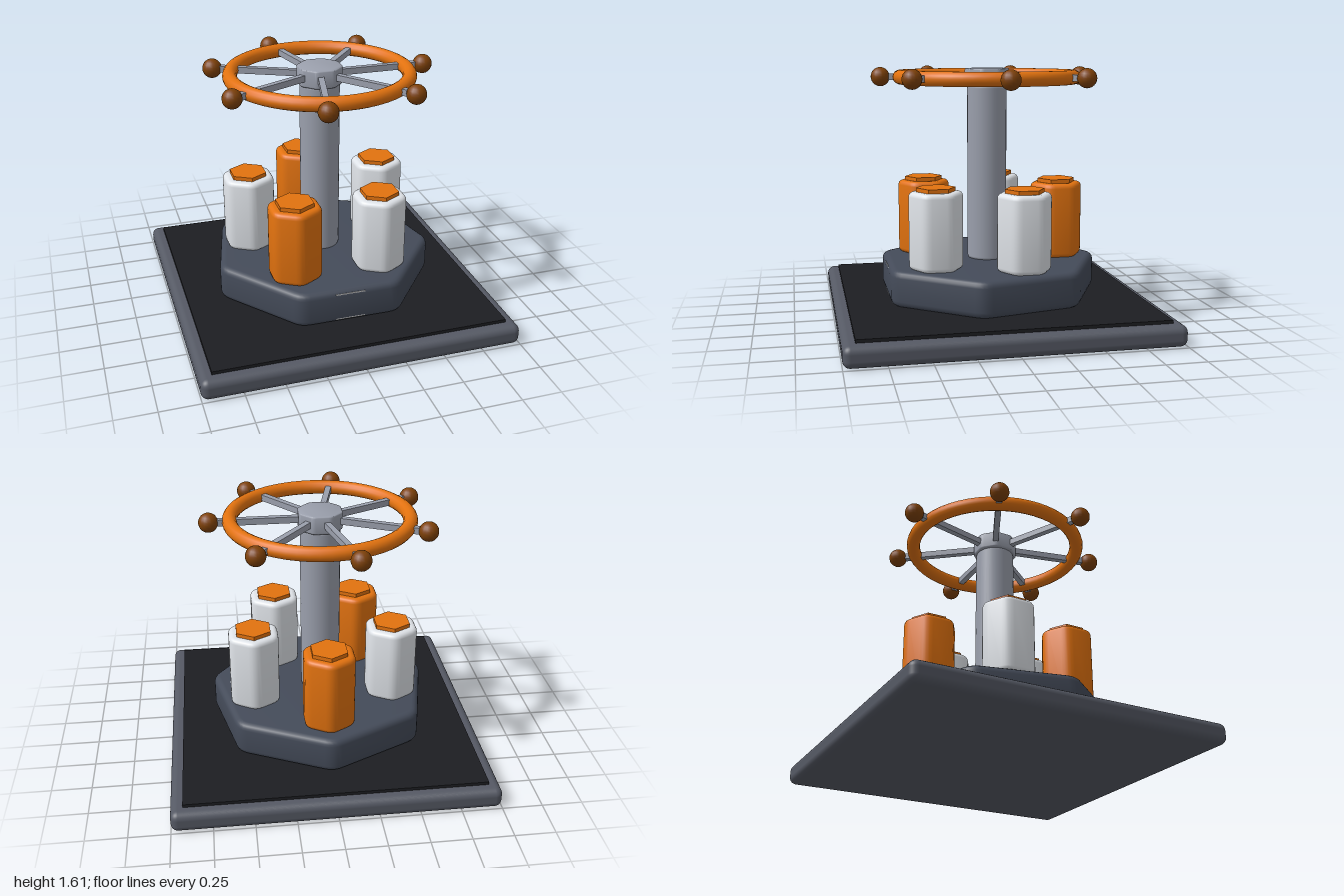
import * as THREE from 'three';
import { toCreasedNormals } from 'three/addons/utils/BufferGeometryUtils.js';
import { RoundedBoxGeometry } from 'three/addons/geometries/RoundedBoxGeometry.js';

const paint = (color) => new THREE.MeshStandardMaterial({ color });
const slate = paint(0x555964), mat = paint(0x1d1e22), dark = paint(0x444b59), steel = paint(0x9a9fac);
const white = paint(0xdfe3e8), orange = paint(0xe2720f), brown = paint(0x7e4108), label = paint(0xe4e4e4);

function add(parent, name, geometry, material, x = 0, y = 0, z = 0) {
  const mesh = new THREE.Mesh(geometry, material);
  mesh.name = name;
  mesh.position.set(x, y, z);
  parent.add(mesh);
  return mesh;
}

// Upright prism standing on y = 0, with rounded corners (cut) and rounded rims (bevel)
function prism(sides, radius, height, cut, bevel, startAngle = Math.PI / 2) {
  const corners = [];
  for (let i = 0; i < sides; i++) {
    const a = startAngle + (i / sides) * Math.PI * 2;
    corners.push(new THREE.Vector2(Math.cos(a) * radius, Math.sin(a) * radius));
  }
  const shape = new THREE.Shape();
  const t = cut / corners[0].distanceTo(corners[1]);
  corners.forEach((p, i) => {
    const before = p.clone().lerp(corners[(i + sides - 1) % sides], t);
    const after = p.clone().lerp(corners[(i + 1) % sides], t);
    if (i === 0) shape.moveTo(before.x, before.y);
    else shape.lineTo(before.x, before.y);
    shape.quadraticCurveTo(p.x, p.y, after.x, after.y);
  });
  shape.closePath();
  const geometry = new THREE.ExtrudeGeometry(shape, {
    depth: height - 2 * bevel, curveSegments: 4, bevelEnabled: true,
    bevelThickness: bevel, bevelSize: bevel, bevelOffset: -bevel, bevelSegments: 4,
  });
  geometry.translate(0, 0, bevel);
  geometry.rotateX(-Math.PI / 2);
  return toCreasedNormals(geometry, 0.6);
}

export function createModel() {
  const model = new THREE.Group();
  model.name = 'handwheelStand';

  // Base slab, mat and seven-sided plinth
  add(model, 'baseSlab', new RoundedBoxGeometry(2, 0.13, 2, 4, 0.045), slate, 0, 0.065, 0);
  add(model, 'baseMat', new THREE.BoxGeometry(1.85, 0.03, 1.85), mat, 0, 0.135, 0);
  add(model, 'plinth', prism(7, 0.731, 0.225, 0.06, 0.04), dark, 0, 0.15, 0);

  // Inset plate, its long edges showing at the plinth's rounded rims
  const front = 0.731 * Math.cos(Math.PI / 7);
  add(model, 'frontPlate', new THREE.BoxGeometry(0.19, 0.18, 0.02), label, 0, 0.2625, front - 0.012);

  // Centre post with rounded ends
  const profile = [[0, 0], [0.11, 0], [0.121, 0.006], [0.126, 0.02], [0.126, 1.105], [0.121, 1.12], [0.11, 1.126], [0, 1.126]];
  const post = new THREE.LatheGeometry(profile.map(([x, y]) => new THREE.Vector2(x, y)), 32);
  add(model, 'post', post, steel, 0, 0.37, 0);

  // Ring of five hexagonal canisters
  const bodyGeometry = prism(6, 0.18, 0.485, 0.045, 0.03);
  const capGeometry = new THREE.CylinderGeometry(0.123, 0.123, 0.03, 6).toNonIndexed();
  capGeometry.computeVertexNormals();
  [orange, white, white, orange, white].forEach((material, i) => {
    const a = (i / 5) * Math.PI * 2;
    const canister = new THREE.Group();
    canister.name = 'canister';
    canister.position.set(Math.sin(a) * 0.465, 0.372, -Math.cos(a) * 0.465);
    add(canister, 'canisterBody', bodyGeometry, material);
    add(canister, 'canisterCap', capGeometry, orange, 0, 0.495, 0);
    model.add(canister);
  });

  // Handwheel: hub, rim, and seven spokes ending in knobs
  const wheel = new THREE.Group();
  wheel.name = 'handwheel';
  wheel.position.y = 1.545;
  model.add(wheel);
  add(wheel, 'hub', prism(8, 0.147, 0.115, 0.02, 0.012, Math.PI / 8), steel, 0, -0.06, 0);
  add(wheel, 'rim', new THREE.TorusGeometry(0.555, 0.045, 14, 56).rotateX(Math.PI / 2), orange);
  const spokeGeometry = new THREE.BoxGeometry(0.6, 0.04, 0.038);
  const knobGeometry = new THREE.SphereGeometry(0.061, 16, 12);
  for (let i = 0; i < 7; i++) {
    const arm = new THREE.Group();
    arm.name = 'arm';
    arm.rotation.y = (i / 7) * Math.PI * 2;
    add(arm, 'spoke', spokeGeometry, steel, 0.36, 0, 0);
    add(arm, 'knob', knobGeometry, brown, 0.683, 0, 0);
    wheel.add(arm);
  }
  return model;
}
